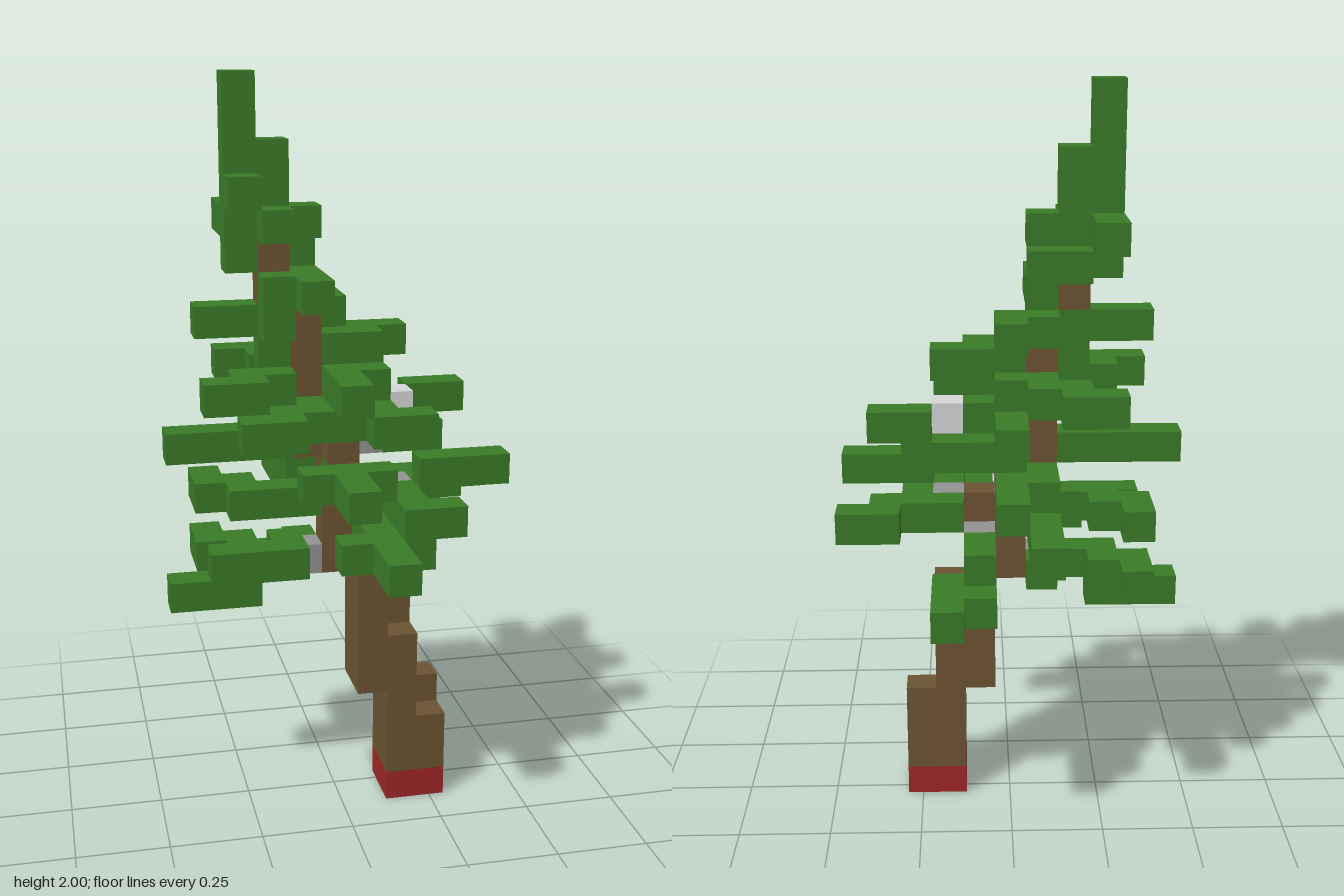
import * as THREE from 'three';
import { mergeGeometries } from 'three/addons/utils/BufferGeometryUtils.js';

const U = 2 / 24; // block size
const colour = (name, color) => Object.assign(new THREE.MeshStandardMaterial({ color }), { name });

export function createModel() {
  const materials = {
    foliage: colour('leaf green', 0x3a7b28),
    trunk: colour('bark brown', 0x6c5432),
    trunkBase: colour('base red', 0x9e2727),
    darkOrnaments: colour('mid grey', 0x939393),
    lightOrnament: colour('light grey', 0xd6d6d6),
  };
  const cells = new Map();
  const key = (x, y, z) => `${x},${y},${z}`;
  const put = (part, x, y, z) => {
    if (!cells.has(key(x, y, z))) cells.set(key(x, y, z), { part, x, y, z });
  };
  // Upright block column from row y0 to y1
  const column = (part, x, z, y0, y1 = y0) => {
    for (let y = y0; y <= y1; y++) put(part, x, y, z);
  };
  // Twig running along the grid through [x, z] corners in one row
  const twig = (y, ...points) => {
    let [x, z] = points[0];
    put('foliage', x, y, z);
    for (const [px, pz] of points) {
      while (x !== px || z !== pz) {
        if (x !== px) x += Math.sign(px - x);
        else z += Math.sign(pz - z);
        put('foliage', x, y, z);
      }
    }
  };

  // Red foot and leaning, stepped trunk
  for (const x of [2, 3]) for (const z of [0, 1]) column('trunkBase', x, z, 0);
  column('trunk', 3, 1, 1, 2);
  column('trunk', 3, 0, 1, 3);
  column('trunk', 2, 1, 1, 5);
  column('trunk', 2, 0, 1, 7);
  column('trunk', 1, 1, 4, 8);
  column('trunk', 1, 0, 4, 10);
  column('trunk', 0, 0, 8, 12);
  column('trunk', 0, 1, 12);
  column('trunk', -1, 0, 12, 16);
  column('trunk', -2, 0, 17, 18);

  // Ornaments
  column('darkOrnaments', -1, 0, 8);
  column('darkOrnaments', 1, -1, 9);
  column('darkOrnaments', 2, 0, 10);
  column('darkOrnaments', 0, -1, 11);
  column('darkOrnaments', 1, 0, 12);
  column('lightOrnament', 2, 0, 13);

  // Lower boughs
  twig(7, [-3, 0], [-5, 0]);
  twig(8, [-2, 0], [-3, 0], [-3, -1], [-4, -1], [-4, -2]);
  twig(8, [-1, -1]);
  twig(8, [1, -1], [1, -4], [2, -4], [2, -5]);
  twig(8, [2, -3]);
  twig(9, [-2, 2], [-2, 3], [-4, 3]);
  twig(9, [1, 1], [1, 5]);
  twig(9, [0, 3], [2, 3]);
  twig(9, [1, -2], [1, -3]);
  twig(10, [-1, 0], [-3, 0], [-3, -1], [-4, -1], [-4, -2]);
  twig(10, [-1, -1], [-1, -5]);
  twig(10, [3, 0]);
  twig(10, [2, 1], [2, 3], [3, 3]);
  twig(10, [2, -1], [4, -1], [4, -2], [5, -2]);

  // Middle boughs
  twig(11, [0, 1], [0, 4]);
  twig(11, [-1, 2], [1, 2]);
  twig(11, [-1, -1], [-1, -2], [0, -2], [0, -4]);
  twig(11, [3, 1], [5, 1]);
  twig(12, [-2, 0], [-5, 0]);
  twig(12, [2, 0], [3, 0]);
  twig(12, [0, -1], [2, -1]);
  twig(13, [-1, 1], [-1, 2], [-2, 2], [-2, 3], [-3, 3]);
  twig(13, [0, 0], [1, 0]);
  twig(13, [0, 1], [0, 2], [1, 2], [1, 3], [2, 3]);
  twig(13, [3, -1], [4, -1]);
  twig(13, [0, -1], [0, -3]);
  twig(14, [-2, 0], [-2, 1], [-3, 1], [-3, 2], [-4, 2]);
  twig(14, [-1, -1], [-1, -2], [-2, -2], [-2, -3], [-3, -3]);
  twig(14, [0, -1]);
  twig(14, [1, 1], [0, 1], [0, 3]);

  // Upper boughs and leaning tip
  twig(15, [0, 0], [1, 0], [1, -1], [2, -1]);
  twig(15, [-2, 0]);
  twig(16, [-2, 1], [-2, 0], [-4, 0]);
  twig(16, [-1, -1], [0, -1], [0, -2]);
  twig(17, [-1, 0], [-1, 2]);
  twig(17, [-2, 1]);
  twig(18, [-3, 0]);
  twig(18, [-2, -1], [-1, -1]);
  twig(19, [-1, 0], [-3, 0], [-3, -2]);
  twig(19, [-2, 1]);
  twig(20, [-2, 0], [-3, 0], [-3, 1]);
  twig(21, [-2, 0], [-3, 0]);
  column('foliage', -3, 0, 22, 23);

  // One outward square for each of the six directions
  const dirs = [[1, 0, 0], [-1, 0, 0], [0, 1, 0], [0, -1, 0], [0, 0, 1], [0, 0, -1]];
  const sides = dirs.map(([x, y, z]) => {
    const face = new THREE.PlaneGeometry(U, U).translate(0, 0, U / 2);
    if (y) face.rotateX(-y * Math.PI / 2);
    else face.rotateY(Math.atan2(x, z));
    return face;
  });

  // Keep only the exposed faces of each part
  const group = new THREE.Group();
  group.name = 'leaningPine';
  for (const [part, material] of Object.entries(materials)) {
    const faces = [];
    for (const c of cells.values()) {
      if (c.part !== part) continue;
      dirs.forEach(([dx, dy, dz], n) => {
        if (cells.has(key(c.x + dx, c.y + dy, c.z + dz))) return;
        faces.push(sides[n].clone().translate(c.x * U, (c.y + 0.5) * U, c.z * U));
      });
    }
    const mesh = new THREE.Mesh(mergeGeometries(faces), material);
    mesh.name = part;
    group.add(mesh);
  }
  return group;
}
